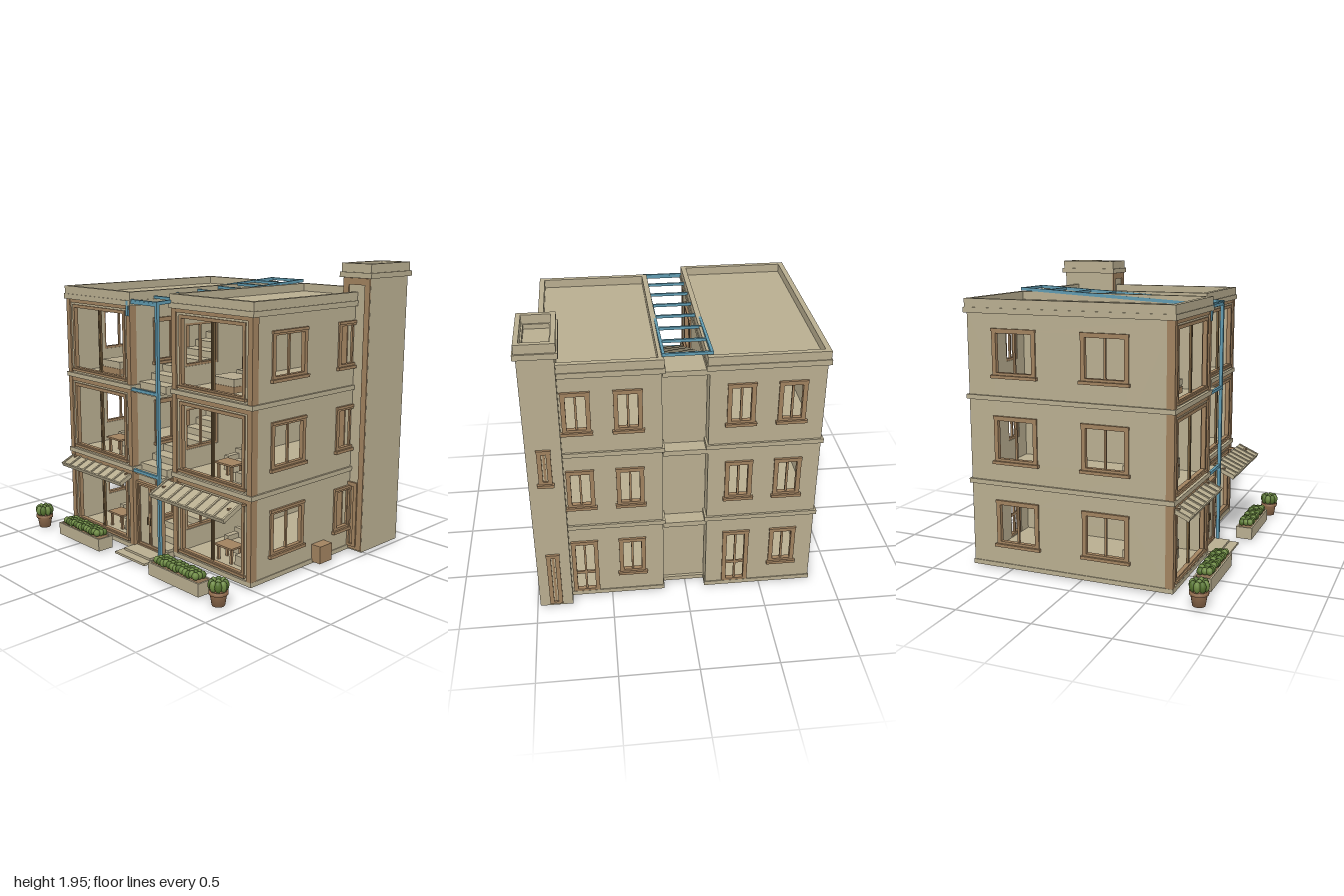
import * as THREE from 'three';

const mat = (name, color) => Object.assign(new THREE.MeshStandardMaterial({ color }), { name });

export function createModel() {
  const M = {
    wall: mat('sandstone', 0xb9ae90), wood: mat('wood trim', 0xa1825f), dark: mat('dark wood', 0x77603f),
    fabric: mat('fabric', 0xb5aa8e), blue: mat('blue steel', 0x5f9ab0), pot: mat('terracotta', 0x9b7453),
    soil: mat('soil', 0x8a6f52), leaf: mat('leaf', 0x6d8a42), leafDark: mat('dark leaf', 0x55722f),
  };
  const root = new THREE.Group();
  const group = (name, parent = root) => {
    const g = new THREE.Group();
    g.name = name;
    parent.add(g);
    return g;
  };
  const add = (p, name, geo, m, x = 0, y = 0, z = 0) => {
    const mesh = new THREE.Mesh(geo, m);
    mesh.name = name;
    mesh.position.set(x, y, z);
    p.add(mesh);
    return mesh;
  };
  // box given by its minimum and maximum corners
  const box = (p, name, m, x0, x1, y0, y1, z0, z1) => add(p, name,
    new THREE.BoxGeometry(x1 - x0, y1 - y0, z1 - z0), m, (x0 + x1) / 2, (y0 + y1) / 2, (z0 + z1) / 2);
  const rect = (T, x0, x1, y0, y1) => {
    const s = new T();
    s.moveTo(x0, y0); s.lineTo(x1, y0); s.lineTo(x1, y1); s.lineTo(x0, y1); s.closePath();
    return s;
  };
  // flat panel with rectangular holes [u0, u1, v0, v1]
  const panel = (u0, u1, v0, v1, holes, depth) => {
    const s = rect(THREE.Shape, u0, u1, v0, v1);
    s.holes = holes.map(h => rect(THREE.Path, ...h));
    return new THREE.ExtrudeGeometry(s, { depth, bevelEnabled: false });
  };
  // horizontal rectangular ring
  const ring = (p, name, m, x0, x1, y0, y1, z0, z1, t) => {
    const geo = panel(x0, x1, -z1, -z0, [[x0 + t, x1 - t, -z1 + t, -z0 - t]], y1 - y0);
    geo.rotateX(-Math.PI / 2);
    return add(p, name, geo, m, 0, y0, 0);
  };
  // casement in a wall opening, local z pointing outwards
  const windowUnit = (p, name, x, y0, y1, z, w, turn, isDoor = false) => {
    const g = group(name, p), a = w / 2, h = y1 - y0, b = 0.016;
    g.position.set(x, y0, z);
    g.rotation.y = turn;
    add(g, 'casing', panel(-a - 0.012, a + 0.012, isDoor ? 0 : -0.012, h + 0.012, [[-a + b, a - b, b, h - b]], 0.03), M.wood, 0, 0, -0.02);
    box(g, 'mullion', M.wood, -0.007, 0.007, b, h - b, -0.015, 0);
    box(g, 'lintel', M.wood, -a - 0.014, a + 0.014, h - 0.004, h + 0.014, 0, 0.016);
    if (!isDoor) box(g, 'sill', M.wood, -a - 0.022, a + 0.022, -0.02, 0, -0.01, 0.024);
    else box(g, 'lockRail', M.wood, -a + b, a - b, 0.14, 0.16, -0.014, -0.002);
  };

  const STOREY = 0.557, T = 0.025, Z0 = -0.77, TOP = 1.67;
  const floors = [0, 1, 2].map(i => i * STOREY);
  const shift = (hole) => floors.map(f => [hole[0], hole[1], hole[2] + f, hole[3] + f]);

  const bed = (p, cx, y, z) => {
    const g = group('bed', p);
    g.position.set(cx, y, z);
    box(g, 'headboard', M.wood, -0.1, 0.1, 0, 0.2, -0.02, 0);
    box(g, 'bedFrame', M.wood, -0.1, 0.1, 0.02, 0.06, 0, 0.27);
    box(g, 'mattress', M.fabric, -0.095, 0.095, 0.06, 0.1, 0, 0.265);
    box(g, 'blanket', M.fabric, -0.099, 0.099, 0.07, 0.108, 0.09, 0.268);
    for (const s of [-1, 1]) box(g, 'pillow', M.fabric, s * 0.045 - 0.035, s * 0.045 + 0.035, 0.1, 0.125, 0.01, 0.07);
  };
  const lounge = (p, cx, y, z) => {
    const g = group('lounge', p);
    g.position.set(cx, y, z);
    box(g, 'sofaSeat', M.fabric, -0.165, 0.165, 0, 0.065, 0, 0.1);
    box(g, 'sofaBack', M.fabric, -0.165, 0.165, 0, 0.13, -0.03, 0);
    box(g, 'sofaArm', M.fabric, -0.165, -0.125, 0, 0.1, 0, 0.1);
    box(g, 'sideSeat', M.fabric, 0.08, 0.165, 0, 0.065, 0.1, 0.24);
    box(g, 'sideBack', M.fabric, 0.135, 0.165, 0, 0.13, 0, 0.24);
    box(g, 'tableTop', M.wood, -0.08, 0.08, 0.098, 0.11, 0.15, 0.27);
    for (const x of [-0.06, 0.06]) for (const tz of [0.17, 0.25]) box(g, 'tableLeg', M.wood, x - 0.008, x + 0.008, 0, 0.098, tz - 0.008, tz + 0.008);
  };

  // one three-storey wing; inner is the side facing the stairs
  const wing = (name, x0, x1, z1, inner, backX, doorX) => {
    const g = group(name), cx = (x0 + x1) / 2;
    const sideHoles = [...shift([0.03, 0.32, 0.165, 0.445]), ...shift([-0.58, -0.3, 0.165, 0.445])];
    const innerHoles = shift([0.12, 0.41, 0.165, 0.445]);
    for (const s of [-1, 1]) {
      const isInner = s === inner, x = s > 0 ? x1 : x0, holes = isInner ? innerHoles : sideHoles;
      const w = add(g, isInner ? 'innerWall' : 'outerWall', panel(Z0, z1, 0.01, TOP, holes, T), M.wall, s > 0 ? x1 : x0 + T, 0, 0);
      w.rotation.y = -Math.PI / 2;
      for (const h of holes) windowUnit(g, 'sideWindow', x, h[2], h[3], (h[0] + h[1]) / 2, h[1] - h[0], s * Math.PI / 2);
    }
    // back wall with windows and one ground floor door
    const backHoles = [];
    for (const bx of backX) floors.forEach((f, i) => {
      const isDoor = i === 0 && bx === doorX, y0 = isDoor ? 0.035 : f + 0.18;
      backHoles.push([bx - 0.075, bx + 0.075, y0, f + 0.44]);
      windowUnit(g, isDoor ? 'backDoor' : 'backWindow', bx, y0, f + 0.44, Z0, 0.15, Math.PI, isDoor);
    });
    add(g, 'backWall', panel(x0 + T, x1 - T, 0.01, TOP, backHoles, T), M.wall, 0, 0, Z0);
    // glazed front bays
    const a = 0.285, lo = 0.06, hi = 0.505;
    add(g, 'frontWall', panel(x0 + T, x1 - T, 0.01, TOP, shift([cx - a, cx + a, lo, hi]), T), M.wall, 0, 0, z1 - T);
    floors.forEach((f, i) => {
      add(g, 'bayFrame', panel(cx - a - 0.01, cx + a + 0.01, f + lo - 0.01, f + hi + 0.01,
        [[cx - a + 0.012, cx + a - 0.012, f + lo + 0.012, f + hi - 0.012]], 0.03), M.wood, 0, 0, z1 - 0.022);
      for (const s of [-1, 1]) {
        box(g, 'bayMullion', M.dark, cx + s * 0.007 - 0.005, cx + s * 0.007 + 0.005, f + lo, f + hi, z1 - 0.02, z1 - 0.005);
        const px = s > 0 ? x1 : x0;
        box(g, 'cornerPost', M.wood, Math.min(px + s * 0.005, px - s * 0.035), Math.max(px + s * 0.005, px - s * 0.035),
          f + 0.03, f + STOREY - 0.002, z1 - 0.04, z1 + 0.012);
      }
      box(g, 'baySill', M.wood, cx - 0.305, cx + 0.305, f + 0.045, f + 0.062, z1 - 0.01, z1 + 0.018);
      box(g, 'bayBeam', M.wood, x0, x1, f + STOREY - 0.03, f + STOREY, z1 - 0.02, z1 + 0.008);
      const o = i ? 0.014 : 0.006;
      box(g, 'floorSlab', M.wall, x0 - o, x1 + o, f, f + 0.03, Z0 - o, z1 + o + 0.006);
      if (i === 2) bed(g, cx, f + 0.03, z1 - 0.365);
      else lounge(g, cx, f + 0.03, z1 - 0.37);
    });
    box(g, 'roofSlab', M.wall, x0 - 0.02, x1 + 0.02, 1.665, 1.7, Z0 - 0.016, z1 + 0.022);
    ring(g, 'parapet', M.wall, x0 - 0.014, x1 + 0.014, 1.7, 1.755, Z0 - 0.01, z1 + 0.016, 0.034);

    // slatted awning and planter
    const aw = group('awning', g);
    aw.position.set(cx, 0.512, 0.64);
    aw.rotation.x = 0.42;
    box(aw, 'canopy', M.wall, -0.34, 0.34, -0.006, 0.006, -0.08, 0.08);
    for (let i = 0; i <= 8; i++) box(aw, 'rib', M.wall, i * 0.084 - 0.343, i * 0.084 - 0.329, -0.014, 0.013, -0.08, 0.08);
    box(aw, 'awningEdge', M.wall, -0.345, 0.345, -0.016, 0.012, 0.074, 0.084);
    for (const s of [-1, 1]) box(g, 'awningArm', M.wood, cx + s * 0.3 - 0.008, cx + s * 0.3 + 0.008, 0.515, 0.53, z1 - 0.01, 0.64);
    const pl = group('planter', g), px = cx - 0.005 * inner;
    ring(pl, 'trough', M.wall, px - 0.236, px + 0.236, 0, 0.085, 0.71, 0.826, 0.012);
    box(pl, 'soil', M.soil, px - 0.226, px + 0.226, 0.03, 0.08, 0.72, 0.816);
    for (let i = 0; i < 13; i++) for (let j = 0; j < 3; j++) {
      const leaf = add(pl, 'shrub', new THREE.IcosahedronGeometry(0.023, 1), (i + j) % 3 ? M.leaf : M.leafDark,
        px - 0.18 + i * 0.03, 0.104 + ((i * 7 + j * 5) % 4) * 0.003, 0.738 + j * 0.03);
      leaf.scale.y = 1.1;
    }
  };
  wing('leftHandWing', -0.84, -0.13, 0.61, 1, [-0.64, -0.327], -0.327);
  wing('rightHandWing', 0.153, 0.865, 0.49, -1, [0.357, 0.668], 0.668);

  // service tower
  const tw = group('tower');
  box(tw, 'shaft', M.wall, 0.765, 0.98, 0, 1.85, -0.856, -0.456);
  ring(tw, 'capBand', M.wall, 0.743, 0.998, 1.845, 1.88, -0.878, -0.436, 0.05);
  ring(tw, 'capWall', M.wall, 0.752, 0.988, 1.88, 1.937, -0.866, -0.446, 0.03);
  add(tw, 'frontTrim', panel(0.766, 0.979, 0.01, 1.843, [[0.81, 0.938, 0.05, 1.8]], 0.008), M.wood, 0, 0, -0.456);
  windowUnit(tw, 'towerFrontDoor', 0.895, 0.03, 0.47, -0.45, 0.06, 0, true);
  windowUnit(tw, 'towerBackWindow', 0.873, 0.99, 1.22, -0.858, 0.06, Math.PI);
  windowUnit(tw, 'towerBackDoor', 0.873, 0.02, 0.42, -0.858, 0.06, Math.PI, true);

  // stairwell: one flight per storey, landings behind
  const st = group('stairwell'), X0 = -0.128, X1 = 0.15;
  box(st, 'base', M.wall, X0, X1, 0, 0.03, -0.7, 0.62);
  box(st, 'backWall', M.wall, X0, X1, 0.03, 1.64, -0.68, -0.655);
  floors.forEach((f, i) => {
    for (let k = 0; k < 12; k++) {
      const y = f + (k + 1) * STOREY / 12, z = 0.55 - k * 0.1;
      box(st, 'step', M.wall, X0 + 0.005, X1 - 0.005, y - 0.06, y, z - 0.102, z);
    }
    box(st, 'landing', M.wall, X0, X1, f + STOREY - 0.035, f + STOREY, -0.775, -0.65);
    if (i) box(st, 'frontLanding', M.wall, X0, X1, f - 0.02, f, 0.54, 0.6);
  });
  box(st, 'lowerEntryStep', M.wall, -0.156, 0.156, 0, 0.015, 0.6, 0.762);
  box(st, 'upperEntryStep', M.wall, -0.135, 0.14, 0.015, 0.03, 0.6, 0.7);

  // double entrance door
  const door = group('entranceDoor');
  door.position.set(0.01, 0, 0.565);
  add(door, 'doorFrame', panel(-0.135, 0.13, 0.03, 0.485, [[-0.122, 0.117, 0.04, 0.47]], 0.03), M.wood);
  for (const s of [-1, 1]) {
    const c = s * 0.059 - 0.003;
    box(door, 'doorPanel', M.wall, c - 0.058, c + 0.058, 0.04, 0.47, 0.005, 0.015);
    add(door, 'doorStiles', panel(c - 0.058, c + 0.058, 0.04, 0.47, [[c - 0.046, c + 0.046, 0.055, 0.455]], 0.008), M.wood, 0, 0, 0.014);
    box(door, 'handle', M.dark, s * 0.016 - 0.008, s * 0.016, 0.2, 0.25, 0.022, 0.032);
  }

  // steel frame and sloping pergola over the stairs
  const fr = group('steelFrame');
  box(fr, 'post', M.blue, 0.133, 0.153, 0.03, 1.7, 0.603, 0.625);
  box(fr, 'shortPost', M.blue, -0.153, -0.133, 1.6, 1.7, 0.612, 0.632);
  for (const y of [0.565, 1.118, 1.69]) box(fr, 'crossBeam', M.blue, -0.13, 0.15, y - 0.01, y + 0.01, 0.604, 0.624);
  const per = group('pergola', fr);
  per.position.set(0, 1.735, -0.07);
  per.rotation.x = 0.053;
  for (const x of [-0.142, 0.143]) box(per, 'rail', M.blue, x - 0.009, x + 0.009, -0.01, 0.012, -0.69, 0.695);
  for (let i = 0; i < 8; i++) box(per, 'rafter', M.blue, -0.142, 0.143, -0.008, 0.01, -0.69 + i * 0.195, -0.674 + i * 0.195);

  // utility box on the outer wall
  box(root, 'utilityBox', M.wood, 0.86, 0.938, 0.012, 0.13, -0.195, -0.075);

  // potted plants
  for (const [x, z] of [[-0.935, 0.815], [0.903, 0.805]]) {
    const g = group('pottedPlant');
    g.position.set(x, 0, z);
    const prof = [[0, 0], [0.04, 0], [0.052, 0.072], [0.06, 0.072], [0.06, 0.094], [0.05, 0.094], [0.048, 0.085], [0, 0.085]];
    add(g, 'pot', new THREE.LatheGeometry(prof.map(p => new THREE.Vector2(...p)), 20), M.pot).material.flatShading = false;
    for (let i = 0; i < 9; i++) {
      const t = i * Math.PI / 4, r = i < 8 ? 0.042 : 0;
      const leaf = add(g, 'foliage', new THREE.IcosahedronGeometry(0.023, 1), i % 2 ? M.leafDark : M.leaf, r * Math.cos(t), 0.127, r * Math.sin(t));
      leaf.scale.y = 1.6;
    }
  }
  return root;
}
